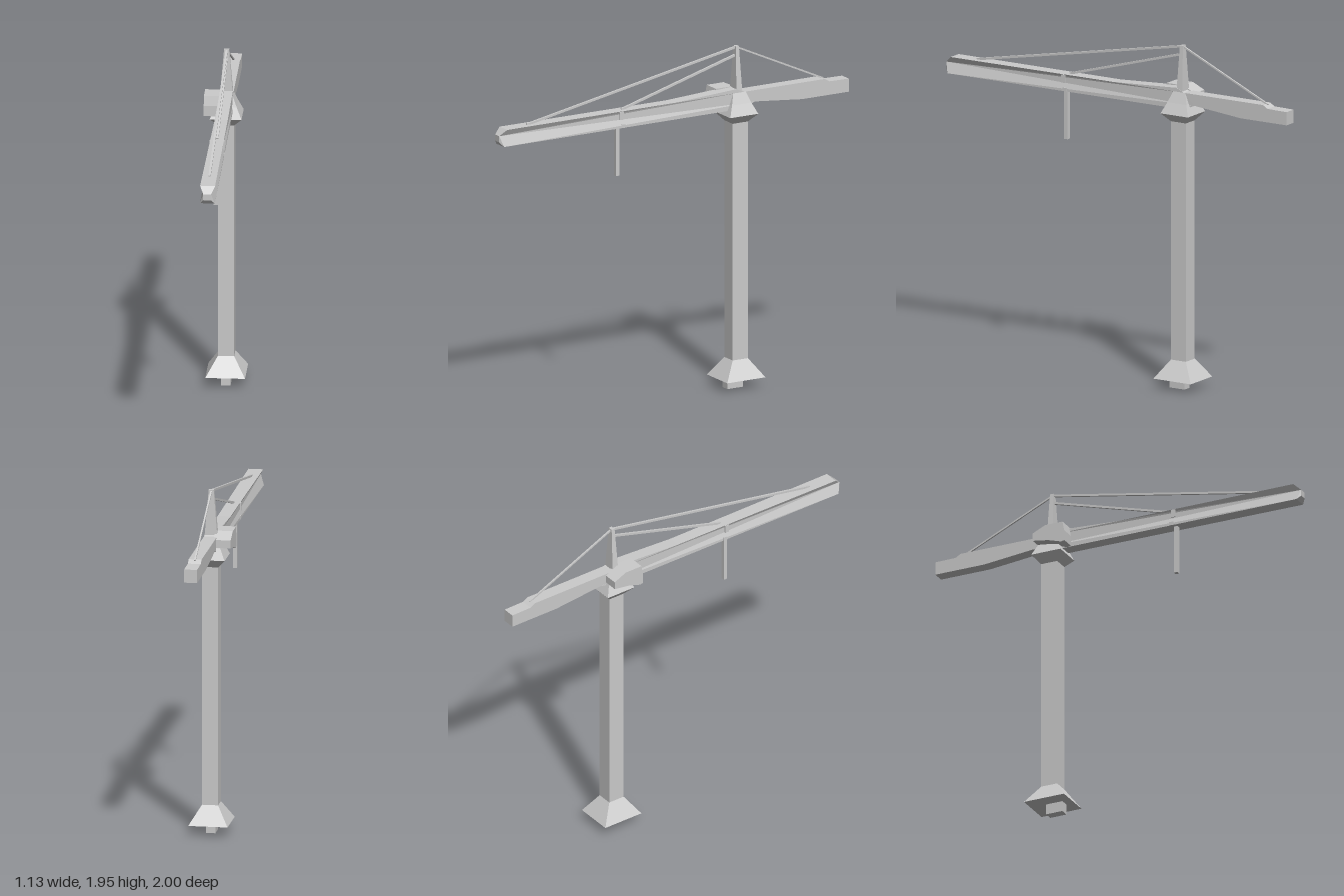
import * as THREE from 'three';

const material = new THREE.MeshStandardMaterial({ color: 0xcccccc, flatShading: true });

export function createModel() {
  const model = new THREE.Group();
  model.name = 'towerCrane';

  // The jib runs along local +z; the whole crane is slewed about its tower
  const crane = new THREE.Group();
  crane.name = 'crane';
  crane.position.set(-0.2, 0, -0.365);
  crane.rotation.y = THREE.MathUtils.degToRad(28.6);
  model.add(crane);

  const add = (name, geometry) => {
    geometry.computeVertexNormals();
    const mesh = new THREE.Mesh(geometry, material);
    mesh.name = name;
    crane.add(mesh);
    return mesh;
  };

  const box = (name, w, h, d, x, y, z) =>
    add(name, new THREE.BoxGeometry(w, h, d)).position.set(x, y, z);

  // Stack of tapered blocks; each level is [y, halfX, halfZ]
  const stack = (name, levels) => {
    for (let i = 0; i + 1 < levels.length; i++) {
      const geometry = new THREE.BoxGeometry(2, 2, 2);
      const p = geometry.attributes.position;
      for (let v = 0; v < p.count; v++) {
        const [y, hx, hz] = levels[p.getY(v) < 0 ? i : i + 1];
        p.setXYZ(v, p.getX(v) * hx, y, p.getZ(v) * hz);
      }
      add(name, geometry);
    }
  };

  // Side profile of [z, y] points, extruded across x between x0 and x1
  const profile = (points, x0, x1) => {
    const shape = new THREE.Shape(points.map(([z, y]) => new THREE.Vector2(z, y)));
    const geometry = new THREE.ExtrudeGeometry(shape, { depth: x1 - x0, bevelEnabled: false });
    return geometry.rotateY(-Math.PI / 2).translate(x1, 0, 0);
  };

  // Square rod between two [x, y, z] points
  const rod = (name, a, b, size) => {
    const from = new THREE.Vector3(...a), to = new THREE.Vector3(...b);
    const mesh = add(name, new THREE.BoxGeometry(size, size, from.distanceTo(to)));
    mesh.position.copy(from).lerp(to, 0.5);
    mesh.rotation.x = -Math.atan2(to.y - from.y, to.z - from.z);
  };

  // Foot, tower, slewing collar and mast
  box('footStub', 0.052, 0.07, 0.1, 0, 0.035, 0.022);
  stack('base', [[0.06, 0.11, 0.123], [0.165, 0.045, 0.049]]);
  stack('tower', [[0.16, 0.045, 0.049], [1.53, 0.045, 0.049]]);
  stack('collar', [[1.52, 0.045, 0.049], [1.568, 0.088, 0.09], [1.63, 0.06, 0.062], [1.69, 0.036, 0.04]]);
  stack('mast', [[1.6, 0.043, 0.022], [1.95, 0.014, 0.01]]);

  // Jib and counter-jib in one beam, pinched at the nose
  const beam = profile([
    [-0.705, 1.595], [-0.404, 1.595], [-0.1, 1.625], [-0.03, 1.595], [1.52, 1.595], [1.54, 1.62],
    [1.54, 1.655], [1.5, 1.69], [0.43, 1.69], [0.02, 1.712], [-0.03, 1.69], [-0.55, 1.69],
    [-0.58, 1.672], [-0.705, 1.67],
  ], -0.036, 0.036);
  const p = beam.attributes.position;
  for (let v = 0; v < p.count; v++) {
    const z = p.getZ(v);
    if (z > 1.53) p.setX(v, p.getX(v) * 0.6);
    else if (z > 1.4) p.setX(v, p.getX(v) * 1.15);
  }
  add('jib', beam);

  // Operator cabin beside the jib
  add('cabin', profile([
    [-0.065, 1.635], [0.03, 1.62], [0.11, 1.595], [0.129, 1.6], [0.129, 1.66],
    [0.118, 1.715], [0.01, 1.715], [-0.065, 1.68],
  ], -0.118, -0.02));

  // Trolley plates on both sides of the jib, with the hanging hoist below
  for (const side of [-1, 1]) {
    box('trolleyPlate', 0.006, 0.045, 0.026, side * 0.038, 1.665, 0.76);
    box('trolleyClip', 0.006, 0.02, 0.026, side * 0.038, 1.605, 0.75);
  }
  box('hoist', 0.023, 0.285, 0.023, -0.006, 1.457, 0.765);

  // Tie rods from the mast
  rod('longTie', [0, 1.944, 0], [0, 1.69, 1.35], 0.012);
  rod('shortTie', [0, 1.9, 0], [0, 1.69, 0.74], 0.012);
  rod('rearTie', [0, 1.944, 0], [0, 1.686, -0.56], 0.009);

  return model;
}
